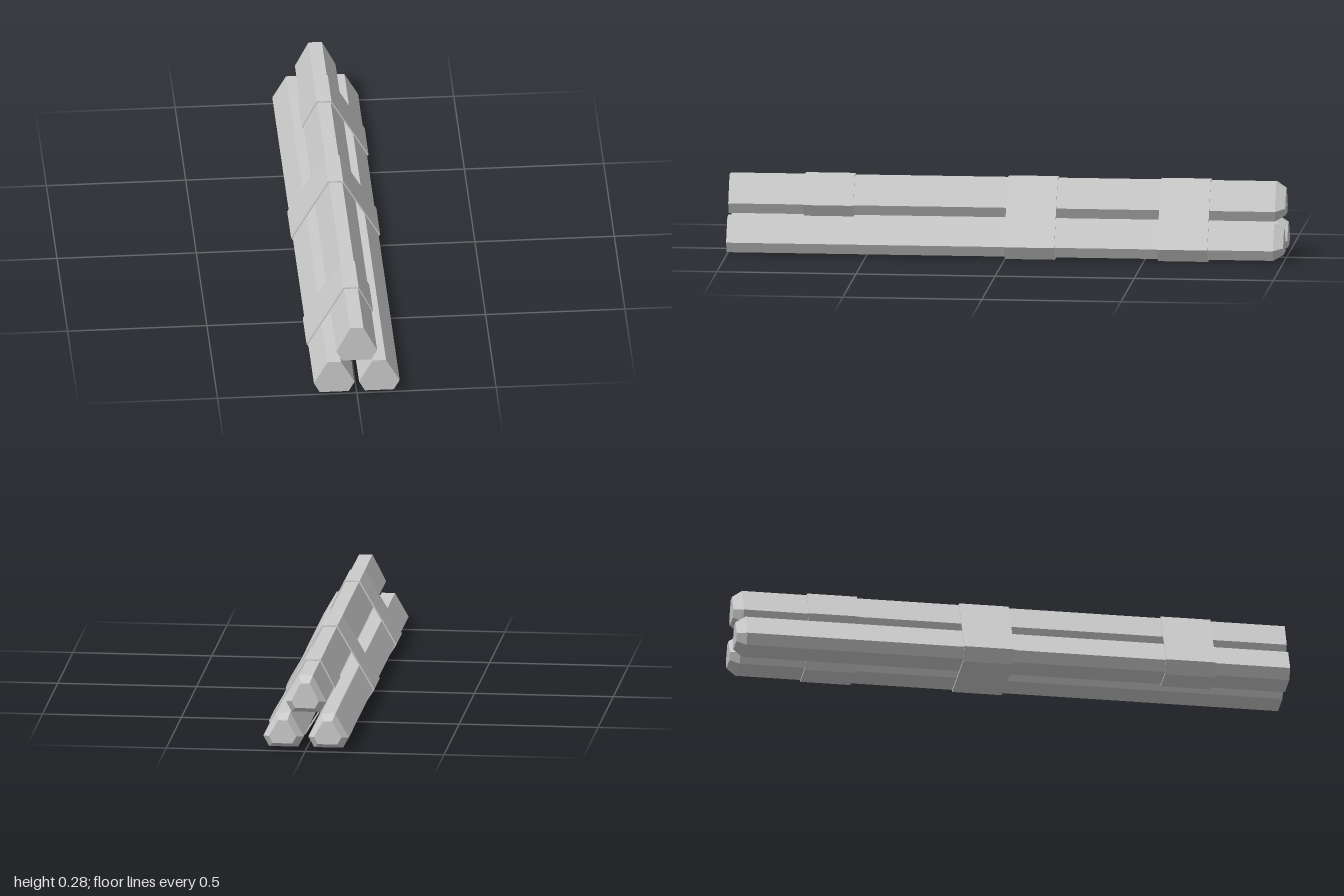
import * as THREE from 'three';

const material = new THREE.MeshStandardMaterial({ color: 0xcccccc, flatShading: true });

const toPath = (points, PathType) => new PathType(points.map(([x, y]) => new THREE.Vector2(x, y)));

// Six-sided stick along z: flat front end, chamfered back end
function makeStick(name, x, y, height) {
  const outline = [
    [-0.052, 0], [0.052, 0], [0.073, 0.038],
    [0.024, height], [-0.024, height], [-0.073, 0.038],
  ];
  const geometry = new THREE.ExtrudeGeometry(toPath(outline, THREE.Shape), { depth: 2, steps: 2, bevelEnabled: false });
  const position = geometry.attributes.position;
  const middle = height * 0.48;
  for (let i = 0; i < position.count; i++) {
    const z = position.getZ(i);
    if (z < 0.5) { // back cap shrinks towards its centre
      position.setXY(i, position.getX(i) * 0.68, middle + (position.getY(i) - middle) * 0.68);
    } else if (z < 1.5) { // middle ring marks the start of the chamfer
      position.setZ(i, 0.035);
    }
  }
  geometry.computeVertexNormals();
  const stick = new THREE.Mesh(geometry, material);
  stick.name = name;
  stick.position.set(x, y, -1);
  return stick;
}

// Thin strap: an outer outline with the inner outline cut out
function makeStrap(name, outer, inner, z, mirrored = false) {
  const flip = (points) => (mirrored ? points.map(([x, y]) => [-x, y]) : points);
  const shape = toPath(flip(outer), THREE.Shape);
  shape.holes.push(toPath(flip(inner), THREE.Path));
  const geometry = new THREE.ExtrudeGeometry(shape, { depth: 0.18, bevelEnabled: false });
  const strap = new THREE.Mesh(geometry, material);
  strap.name = name;
  strap.position.z = z;
  return strap;
}

export function createModel() {
  const group = new THREE.Group();
  group.name = 'stickBundle';

  // Three sticks stacked in a triangle
  group.add(
    makeStick('topStick', 0, 0.138, 0.134),
    makeStick('leftStick', 0.081, 0.009, 0.124),
    makeStick('rightStick', -0.081, 0.009, 0.124),
  );

  // Strap around all three sticks
  const fullOuter = [[-0.131, 0], [0.131, 0], [0.16, 0.047], [0.027, 0.277], [-0.027, 0.277], [-0.16, 0.047]];
  const fullInner = [[-0.128, 0.008], [0.128, 0.008], [0.154, 0.047], [0.024, 0.272], [-0.024, 0.272], [-0.154, 0.047]];
  group.add(makeStrap('middleStrap', fullOuter, fullInner, -0.18));

  // Straps around the top stick and one lower stick
  const pairOuter = [[-0.131, 0.001], [-0.028, 0.001], [0.079, 0.175], [0.027, 0.277], [-0.027, 0.277], [-0.16, 0.047]];
  const pairInner = [[-0.128, 0.008], [-0.031, 0.008], [0.074, 0.176], [0.024, 0.272], [-0.024, 0.272], [-0.154, 0.047]];
  group.add(makeStrap('frontStrap', pairOuter, pairInner, 0.55));
  group.add(makeStrap('backStrap', pairOuter, pairInner, -0.73, true));

  return group;
}
